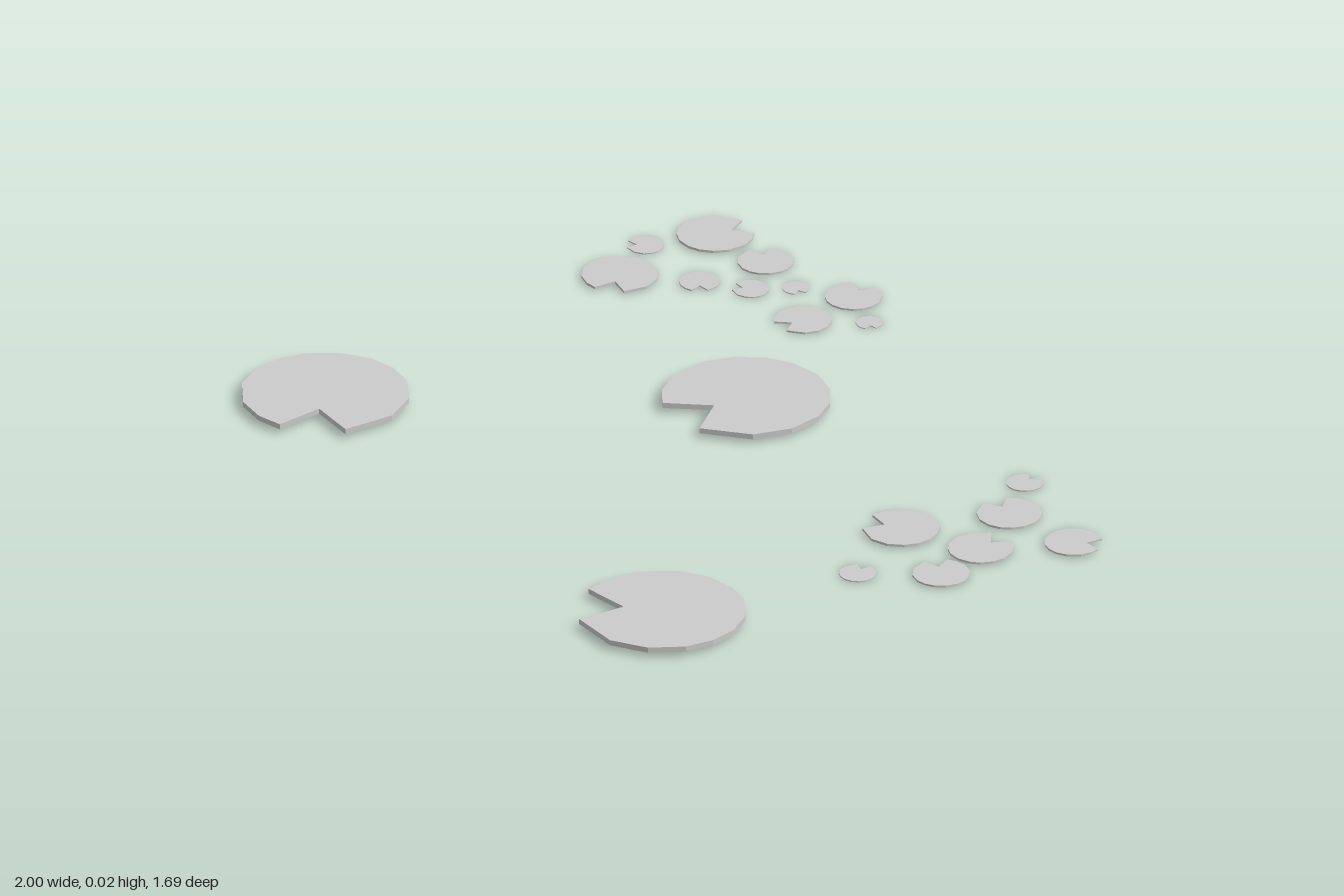
import * as THREE from 'three';

const material = new THREE.MeshStandardMaterial({ color: 0xcccccc, flatShading: true });

// Rim corners in degrees, measured from the middle of the notch
const RIM = [23, 42, 65, 93, 116, 138, 157, 181, 204, 224, 245, 271, 299, 337];

// Unit-radius pad: a faceted disc with a V notch towards +x
function padGeometry() {
  const shape = new THREE.Shape();
  shape.moveTo(0.45, 0);
  for (const deg of RIM) {
    const a = THREE.MathUtils.degToRad(deg);
    shape.lineTo(Math.cos(a), Math.sin(a));
  }
  shape.closePath();
  const geometry = new THREE.ExtrudeGeometry(shape, { depth: 0.066, bevelEnabled: false });
  geometry.rotateX(Math.PI / 2);
  geometry.translate(0, 0.132, 0);
  return geometry;
}

// Each pad: x, z, radius, notch direction in degrees (from +x towards +z)
const CLUSTERS = {
  largePads: [
    [-0.8, 0.53, 0.204, 49],
    [-0.137, -0.23, 0.204, 96],
    [0.59, 0.64, 0.204, 138],
  ],
  backRightPads: [
    [-0.858, -0.735, 0.093, -74],
    [-0.676, -0.74, 0.068, -151],
    [-0.527, -0.711, 0.033, 20],
    [-0.398, -0.783, 0.069, -116],
    [-0.275, -0.73, 0.033, 35],
    [-0.928, -0.575, 0.045, 135],
    [-0.698, -0.553, 0.05, 40],
    [-0.591, -0.623, 0.045, 145],
    [-0.842, -0.425, 0.093, 57],
    [-0.382, -0.612, 0.07, 97],
  ],
  leftPads: [
    [0.607, -0.479, 0.045, -105],
    [0.712, -0.343, 0.079, -168],
    [0.925, -0.366, 0.07, -40],
    [0.808, -0.174, 0.079, -98],
    [0.607, -0.093, 0.093, 150],
    [0.846, -0.019, 0.07, -151],
    [0.714, 0.131, 0.045, -120],
  ],
};

export function createModel() {
  const model = new THREE.Group();
  model.name = 'lilyPads';
  const geometry = padGeometry();

  for (const [name, pads] of Object.entries(CLUSTERS)) {
    const cluster = new THREE.Group();
    cluster.name = name;
    for (const [x, z, radius, notch] of pads) {
      const pad = new THREE.Mesh(geometry, material);
      pad.name = 'lilyPad';
      pad.scale.setScalar(radius);
      pad.rotation.y = -THREE.MathUtils.degToRad(notch);
      pad.position.set(x, -0.0021, z); // the smallest pads rest on the ground
      cluster.add(pad);
    }
    model.add(cluster);
  }
  return model;
}
